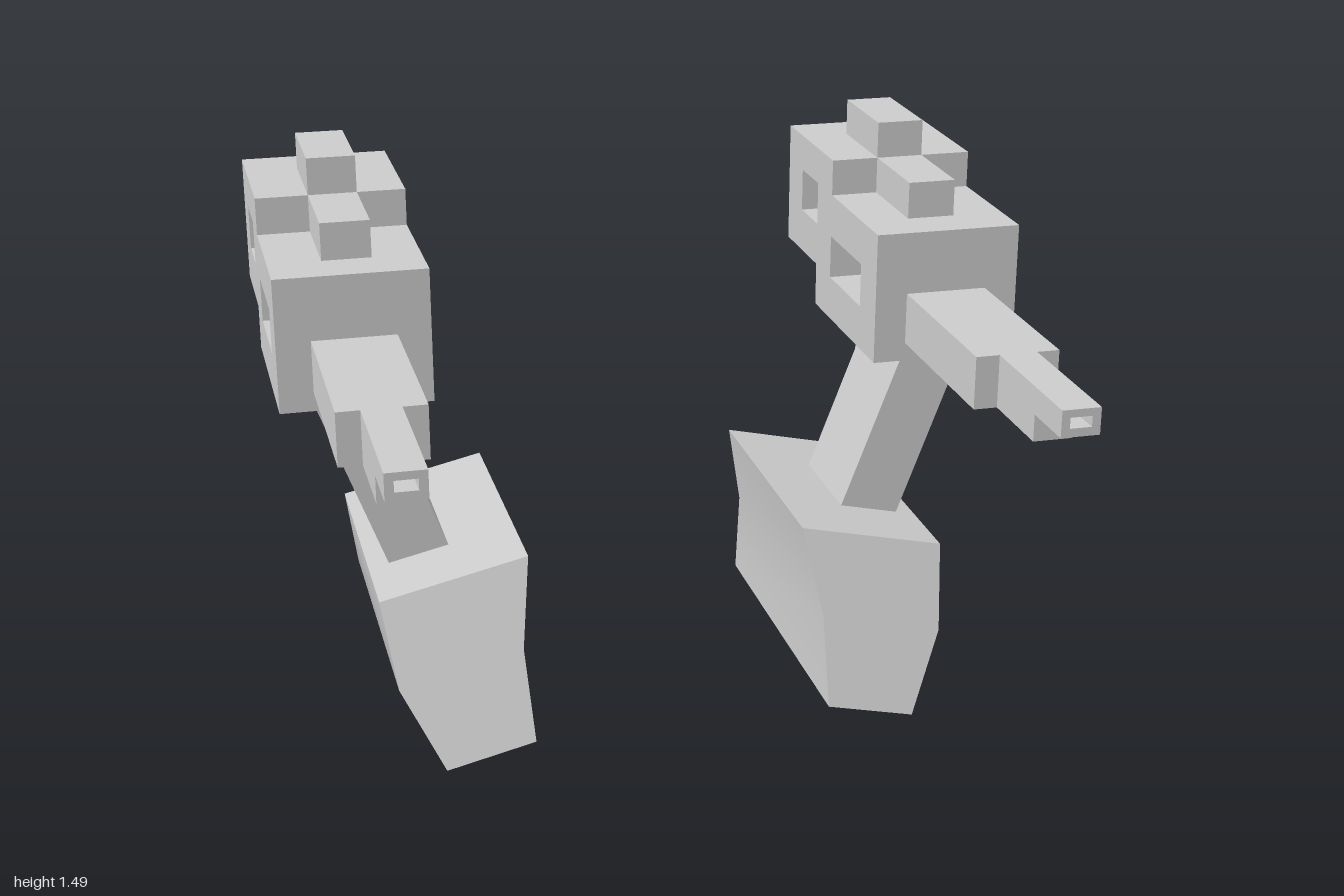
import * as THREE from 'three';
import { toCreasedNormals } from 'three/addons/utils/BufferGeometryUtils.js';

const material = new THREE.MeshStandardMaterial({ color: 0xcccccc });

const rect = (x0, x1, y0, y1) => [[x0, y0], [x1, y0], [x1, y1], [x0, y1]];
const vectors = (points) => points.map(([x, y]) => new THREE.Vector2(x, y));

function extrude(outline, holes, depth) {
  const shape = new THREE.Shape(vectors(outline));
  for (const hole of holes) shape.holes.push(new THREE.Path(vectors(hole)));
  return new THREE.ExtrudeGeometry(shape, { depth, bevelEnabled: false });
}

function box(x0, x1, y0, y1, z0, z1) {
  return new THREE.BoxGeometry(x1 - x0, y1 - y0, z1 - z0)
    .translate((x0 + x1) / 2, (y0 + y1) / 2, (z0 + z1) / 2);
}

// Mirror across x and restore the winding of every triangle
function mirror(source) {
  const geometry = source.index ? source.toNonIndexed() : source.clone();
  geometry.scale(-1, 1, 1);
  for (const { array, itemSize } of Object.values(geometry.attributes)) {
    for (let i = 0; i < array.length; i += itemSize * 3) {
      for (let k = 0; k < itemSize; k++) {
        const a = i + k, b = a + itemSize * 2;
        [array[a], array[b]] = [array[b], array[a]];
      }
    }
  }
  return geometry;
}

// Wedge-shaped foot whose front slopes forward towards the sole
function footGeometry() {
  const section = [[0.405, 0.055], [0.645, 0], [0.75, 0.2], [0.78, 0.415], [0.38, 0.505], [0.415, 0.28]];
  const geometry = extrude(section, [], 1);
  const p = geometry.attributes.position;
  for (let i = 0; i < p.count; i++) {
    const height = (p.getY(i) + 0.225 * p.getX(i) - 0.146) / 0.444;
    p.setZ(i, p.getZ(i) > 0.5 ? 0.24 - 0.195 * height : -0.71);
  }
  return toCreasedNormals(geometry, 0.6);
}

// Stepped body cut from the side, with two windows right through it
function bodyGeometry() {
  const outline = [[0.05, 0.93], [0.58, 0.93], [0.58, 1.05], [0.86, 1.05],
    [0.86, 1.39], [0.45, 1.39], [0.45, 1.29], [0.05, 1.29]];
  const windows = [rect(0.18, 0.45, 1.05, 1.17), rect(0.58, 0.73, 1.17, 1.29)];
  return extrude(outline, windows, 0.4).rotateY(Math.PI / 2).translate(0.6, 0, 0);
}

// Hose from the rear of the body, bending into the back of the leg
function hoseGeometry() {
  const path = new THREE.CurvePath();
  const v = (x, y, z) => new THREE.Vector3(x, y, z);
  path.add(new THREE.LineCurve3(v(0.8, 1.32, -0.66), v(0.8, 0.93, -0.66)));
  path.add(new THREE.CubicBezierCurve3(
    v(0.8, 0.93, -0.66), v(0.8, 0.82, -0.66), v(0.75, 0.73, -0.58), v(0.74, 0.71, -0.46)));
  return new THREE.TubeGeometry(path, 40, 0.036, 16, false);
}

export function createModel() {
  const parts = {
    foot: footGeometry(),
    leg: extrude([[0.555, 0.45], [0.718, 0.41], [0.926, 0.97], [0.75, 0.97]], [], 0.31).translate(0, 0, -0.48),
    body: bodyGeometry(),
    frontTopBlock: box(0.73, 0.86, 1.29, 1.39, -0.45, -0.18),
    rearTopBlock: box(0.73, 0.86, 1.39, 1.49, -0.73, -0.45),
    barrelHousing: box(0.688, 0.91, 0.98, 1.12, -0.05, 0.47),
    barrel: box(0.75, 0.85, 1.05, 1.12, 0.47, 0.77),
    underBarrel: box(0.75, 0.85, 0.98, 1.05, 0.47, 0.71),
    muzzle: extrude(rect(0.75, 0.85, 1.05, 1.12), [rect(0.772, 0.828, 1.072, 1.1)], 0.1).translate(0, 0, 0.77),
    hose: hoseGeometry(),
  };

  const model = new THREE.Group();
  model.name = 'twinCannons';
  for (const side of ['left', 'right']) {
    const cannon = new THREE.Group();
    cannon.name = `${side}Cannon`;
    for (const [name, geometry] of Object.entries(parts)) {
      const mesh = new THREE.Mesh(side === 'left' ? geometry : mirror(geometry), material);
      mesh.name = name;
      cannon.add(mesh);
    }
    model.add(cannon);
  }
  return model;
}
